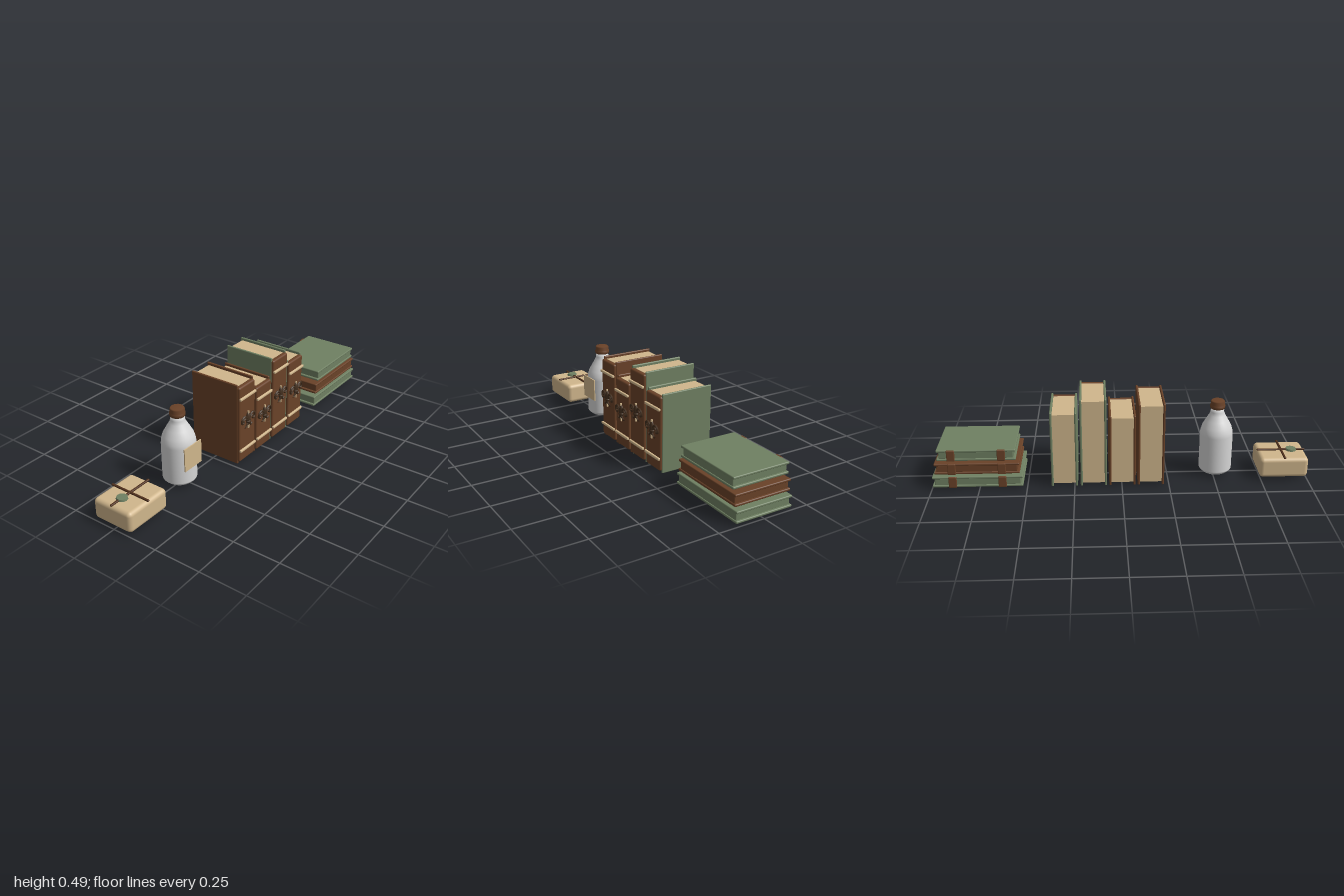
import * as THREE from 'three';
import { RoundedBoxGeometry } from 'three/addons/geometries/RoundedBoxGeometry.js';

const material = (name, color) => {
  const m = new THREE.MeshStandardMaterial({ color });
  m.name = name;
  return m;
};

export function createModel() {
  const leather = material('brown leather', 0x6a4228);
  const dark = material('dark bronze', 0x44301f);
  const cord = material('cord brown', 0x50301c);
  const green = material('green cloth', 0x6f8062);
  const paper = material('paper', 0xd0b68c);
  const glass = material('pale glass', 0xd6d6d6);

  const root = new THREE.Group();
  root.name = 'bookshelfSet';

  const add = (parent, name, geometry, mat, x = 0, y = 0, z = 0) => {
    const mesh = new THREE.Mesh(geometry, mat);
    mesh.name = name;
    mesh.position.set(x, y, z);
    parent.add(mesh);
    return mesh;
  };
  const group = (name, x, y, z) => {
    const g = new THREE.Group();
    g.name = name;
    g.position.set(x, y, z);
    root.add(g);
    return g;
  };
  const rounded = (w, h, d, r) => new RoundedBoxGeometry(w, h, d, 3, r);
  const tube = (points, r) => new THREE.TubeGeometry(
    new THREE.CatmullRomCurve3(points.map(p => new THREE.Vector3(...p))), 20, r, 6);

  // Wrapped parcel with crossed cord and seal
  const parcel = group('parcel', -0.87, 0, -0.008);
  add(parcel, 'wrapping', rounded(0.26, 0.112, 0.23, 0.022), paper, 0, 0.071, 0);
  add(parcel, 'longCord', rounded(0.262, 0.01, 0.012, 0.004), cord, 0, 0.13, 0);
  add(parcel, 'crossCord', rounded(0.012, 0.01, 0.232, 0.004), cord, 0, 0.13, 0);
  add(parcel, 'seal', new THREE.CylinderGeometry(0.027, 0.03, 0.012, 10), green, -0.055, 0.132, 0);

  // Bottle with cap and flat label
  const bottle = group('bottle', -0.513, 0, -0.007);
  const profile = [[0, 0.015], [0.066, 0.015], [0.068, 0.016], [0.085, 0.031], [0.088, 0.038],
    [0.088, 0.232], [0.086, 0.252], [0.078, 0.28], [0.06, 0.313], [0.043, 0.342],
    [0.036, 0.36], [0.035, 0.385], [0, 0.385]];
  add(bottle, 'body', new THREE.LatheGeometry(profile.map(p => new THREE.Vector2(...p)), 32), glass);
  const cap = [[0, 0.38], [0.038, 0.38], [0.04, 0.388], [0.04, 0.398], [0.036, 0.402],
    [0.037, 0.418], [0.033, 0.424], [0, 0.424]];
  add(bottle, 'cap', new THREE.LatheGeometry(cap.map(p => new THREE.Vector2(...p)), 24), leather);
  add(bottle, 'label', new THREE.BoxGeometry(0.128, 0.126, 0.006), paper, 0, 0.181, 0.088);

  // Scrolled flourish on a spine
  const stem = new THREE.BoxGeometry(0.007, 0.1, 0.008);
  const petal = new THREE.SphereGeometry(1, 12, 8).scale(0.015, 0.038, 0.012);
  const knot = new THREE.SphereGeometry(1, 12, 8).scale(0.017, 0.01, 0.013);
  const addFlourish = (book, y) => {
    const f = new THREE.Group();
    f.name = 'flourish';
    f.position.set(0, y, 0.158);
    book.add(f);
    add(f, 'stem', stem, paper, 0, 0, 0.001);
    add(f, 'petal', petal, dark, 0, 0.004, 0);
    add(f, 'knot', knot, dark, 0, -0.008, 0.001);
    for (const s of [-1, 1]) {
      add(f, 'scroll', tube([[0, -0.01, 0], [s * 0.015, 0.016, 0.002], [s * 0.034, 0.03, 0.003],
        [s * 0.052, 0.02, 0.002], [s * 0.055, 0, 0], [s * 0.043, -0.009, 0], [s * 0.036, 0.002, 0]], 0.006), dark);
      add(f, 'innerScroll', tube([[0, -0.01, 0], [s * 0.016, 0.006, 0.002], [s * 0.03, 0.014, 0.003],
        [s * 0.041, 0.008, 0.001]], 0.005), dark);
      add(f, 'tail', tube([[0, -0.006, 0], [s * 0.01, -0.022, 0.002], [s * 0.023, -0.038, 0],
        [s * 0.033, -0.032, 0]], 0.005), dark);
    }
  };

  // Standing books: centre x, height, cover colour
  const standing = [[-0.154, 0.46, leather], [-0.003, 0.397, leather],
    [0.149, 0.491, green], [0.303, 0.42, green]];
  const width = 0.14;
  for (const [x, h, coverMat] of standing) {
    const book = group('standingBook', x, 0, 0);
    for (const s of [-1, 1]) {
      add(book, 'cover', rounded(0.012, h, 0.289, 0.005), coverMat, s * (width / 2 - 0.006), h / 2, -0.0045);
    }
    add(book, 'pages', new THREE.BoxGeometry(width - 0.02, h - 0.03, 0.265), paper, 0, h / 2, -0.006);
    add(book, 'spine', rounded(width - 0.006, h - 0.026, 0.028, 0.01), leather, 0, h / 2, 0.139);
    for (const y of [0.08, h - 0.078]) {
      add(book, 'spineBand', rounded(width - 0.004, 0.015, 0.014, 0.005), paper, 0, y, 0.156);
    }
    addFlourish(book, h * 0.53);
  }

  // Stacked books: width, base height, colour
  const stacked = [[0.475, 0.012, green], [0.445, 0.088, leather], [0.41, 0.165, green]];
  for (const [w, y, mat] of stacked) {
    const book = group('stackedBook', 0.758, y, -0.005);
    for (const cy of [0.0065, 0.0545]) {
      add(book, 'cover', rounded(w, 0.013, 0.316, 0.005), mat, 0, cy, 0);
    }
    add(book, 'block', rounded(w - 0.024, 0.042, 0.306, 0.005), mat, 0, 0.0305, 0);
    // Straps over the back edge
    for (const s of [-1, 1]) {
      add(book, 'strap', rounded(0.042, 0.061, 0.014, 0.004), leather, s * 0.13, 0.0305, -0.158);
    }
  }
  return root;
}
